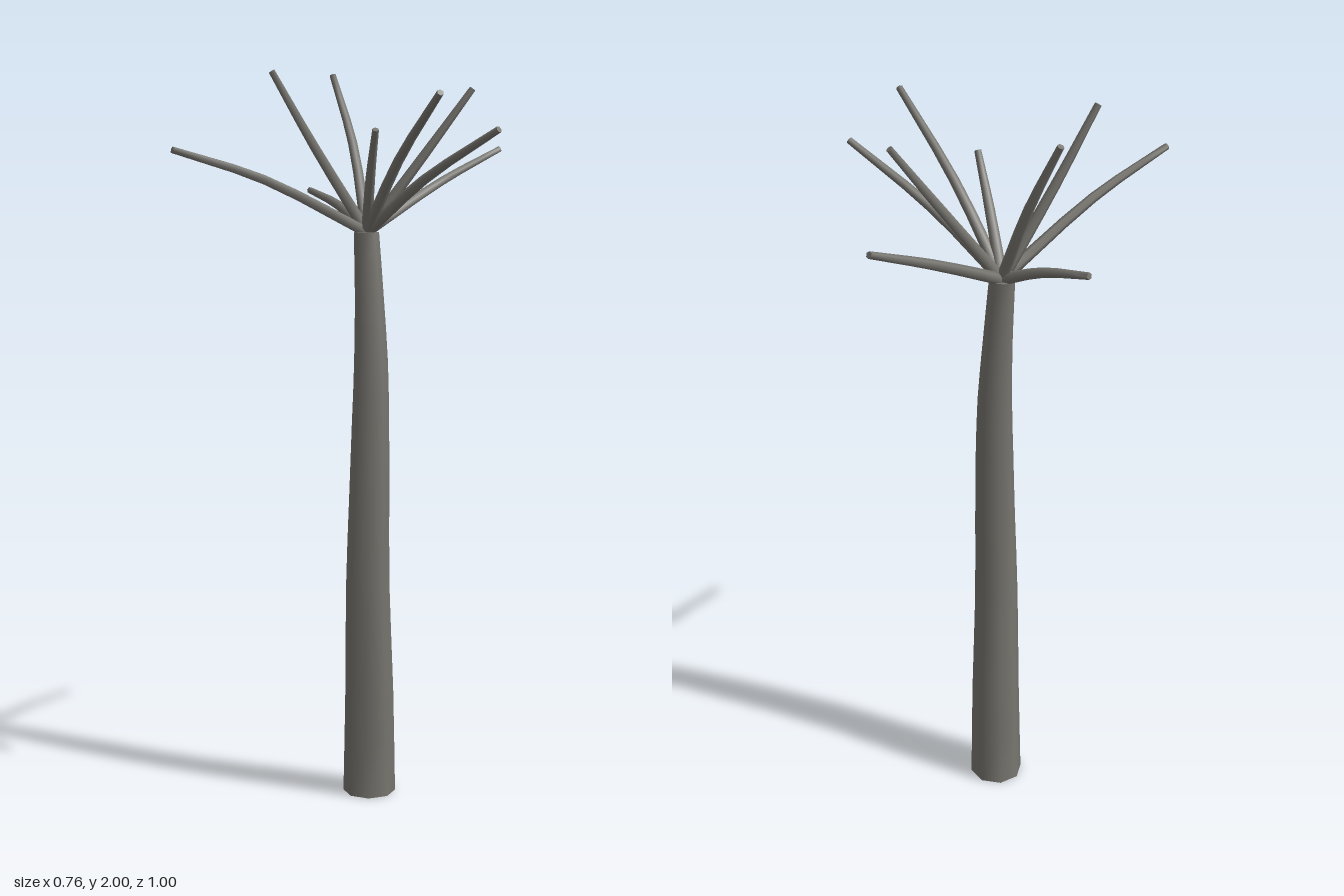
import * as THREE from 'three';
import { toCreasedNormals } from 'three/addons/utils/BufferGeometryUtils.js';

// Bends a capped cylinder along points [x, y, z, radius]
function limb(points, sides, steps, tilt) {
  const curve = new THREE.CatmullRomCurve3(points.map(p => new THREE.Vector3(p[0], p[1], p[2])));
  const geo = new THREE.CylinderGeometry(1, 1, 1, sides, steps);
  const pos = geo.attributes.position;
  const up = new THREE.Vector3(0, 1, 0);
  const v = new THREE.Vector3(), q = new THREE.Quaternion();
  const last = points.length - 1;
  for (let i = 0; i < pos.count; i++) {
    const t = THREE.MathUtils.clamp(pos.getY(i) + 0.5, 0, 1);
    const k = Math.min(Math.floor(t * last), last - 1);
    const r = THREE.MathUtils.lerp(points[k][3], points[k + 1][3], t * last - k);
    v.set(pos.getX(i) * r, 0, pos.getZ(i) * r);
    if (tilt) v.applyQuaternion(q.setFromUnitVectors(up, curve.getTangent(t)));
    v.add(curve.getPoint(t));
    pos.setXYZ(i, v.x, v.y, v.z);
  }
  return toCreasedNormals(geo, 1.1);
}

export function createModel() {
  const model = new THREE.Group();
  model.name = 'bareTree';
  const bark = new THREE.MeshStandardMaterial({ color: 0x77756f });
  bark.name = 'greyBark';

  // Gently bowed, tapering trunk
  const trunk = new THREE.Mesh(limb([
    [-0.072, 0, -0.027, 0.073],
    [-0.065, 0.3, -0.021, 0.067],
    [-0.058, 0.6, -0.009, 0.06],
    [-0.054, 0.85, -0.011, 0.055],
    [-0.056, 1.05, -0.018, 0.051],
    [-0.061, 1.22, -0.025, 0.046],
    [-0.074, 1.4, -0.031, 0.039],
    [-0.088, 1.57, -0.034, 0.034],
  ], 8, 14, false), bark);
  trunk.name = 'trunk';
  model.add(trunk);

  // Branches fanning from the crown: middle point, then tip
  const branches = [
    [[-0.065, 1.7, -0.3], [-0.03, 1.785, -0.495]],
    [[0.005, 1.78, -0.165], [0.08, 1.95, -0.267]],
    [[0.12, 1.715, -0.043], [0.373, 1.847, -0.055]],
    [[0.11, 1.765, 0.04], [0.356, 1.937, 0.138]],
    [[-0.005, 1.72, 0.03], [0.064, 1.845, 0.077]],
    [[-0.165, 1.8, 0.085], [-0.226, 1.995, 0.178]],
    [[-0.175, 1.715, 0.25], [-0.247, 1.795, 0.495]],
    [[-0.23, 1.635, -0.065], [-0.378, 1.672, -0.089]],
    [[-0.205, 1.805, -0.093], [-0.302, 1.988, -0.109]],
  ];
  branches.forEach(([mid, tip], i) => {
    const geo = limb([[-0.088, 1.57, -0.035, 0.016], [...mid, 0.013], [...tip, 0.009]], 6, 6, true);
    const mesh = new THREE.Mesh(geo, bark);
    mesh.name = 'branch' + (i + 1);
    model.add(mesh);
  });
  return model;
}
